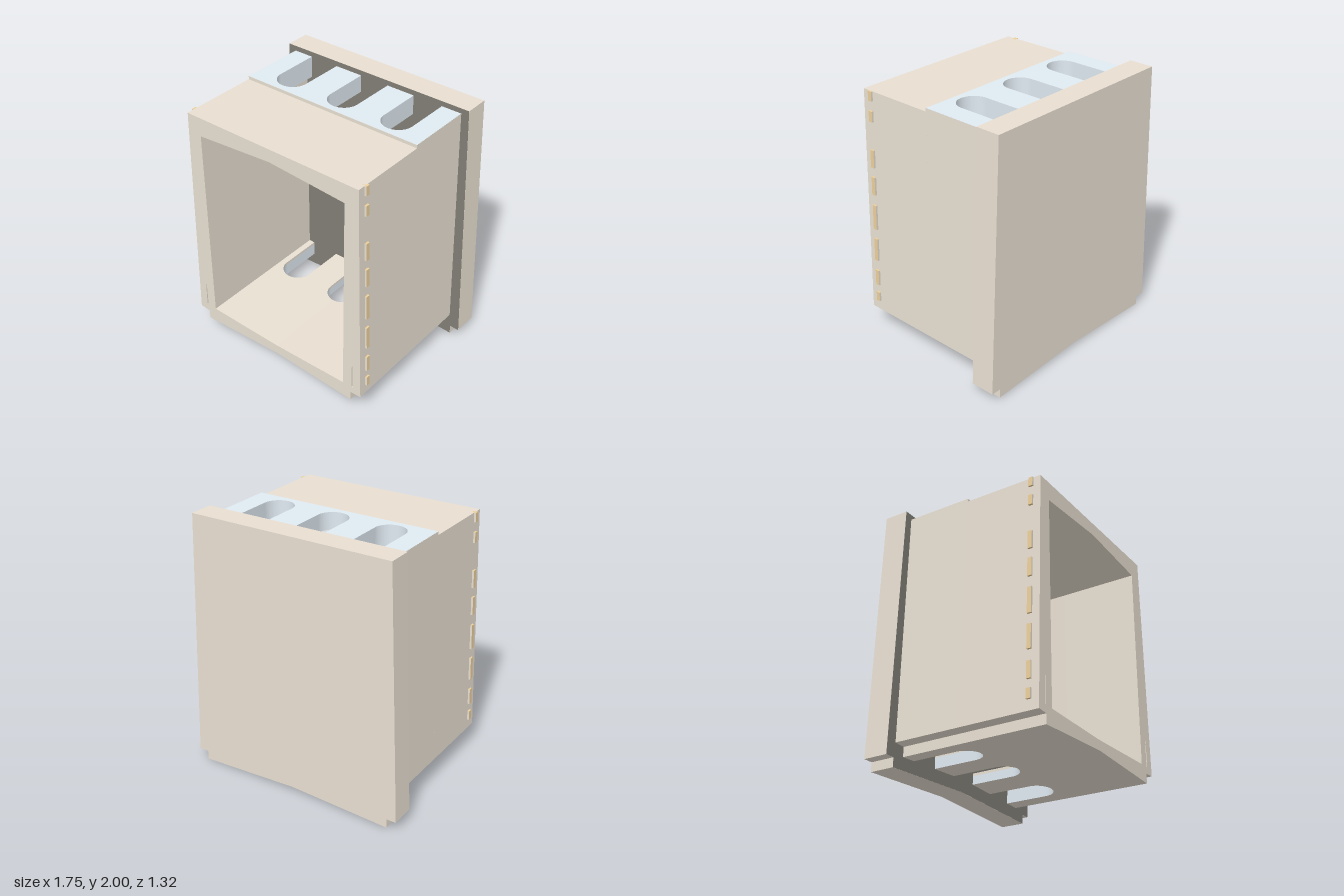
import * as THREE from 'three';

const BACK = -0.471, MID = 0.044, FRONT = 0.66;
const TOP = 1.936, CAP = 1.961;
const mat = (color) => new THREE.MeshStandardMaterial({ color, flatShading: true });
const stone = mat(0xe8dfd1), dark = mat(0x817e76), blue = mat(0xe0eaf2), wood = mat(0xeccf9a);

// x of the tapering outer side at height y
const sideX = (y) => 0.787 - (y - 0.18) * 0.0264;

const toShape = (pts) => new THREE.Shape(pts.map(([x, y]) => new THREE.Vector2(x, y)));

// full counter-clockwise outline from its right half, listed from the top down
const mirrored = (half) => [...half, ...half.map(([x, y]) => [-x, y]).reverse()
  .filter(([x]) => x !== 0)].reverse();

function extrudeZ(shape, z0, z1) {
  const geo = new THREE.ExtrudeGeometry(shape, { depth: z1 - z0, bevelEnabled: false });
  return geo.translate(0, 0, z0);
}

function addMesh(parent, name, geo, material) {
  const mesh = new THREE.Mesh(geo, material);
  mesh.name = name;
  parent.add(mesh);
  return mesh;
}

// right half of a slab with round-ended slots, its top and bottom following x
function slottedHalf(width, topY, bottomY) {
  const r = 0.118, c = 0.463, z = -0.005 - r;
  const s = new THREE.Shape();
  s.moveTo(0, -0.005);
  s.absarc(0, z, r, Math.PI / 2, 0, true);
  s.lineTo(r, BACK);
  s.lineTo(c - r, BACK);
  s.lineTo(c - r, z);
  s.absarc(c, z, r, Math.PI, 0, true);
  s.lineTo(c + r, BACK);
  s.lineTo(width, BACK);
  s.lineTo(width, MID);
  s.lineTo(0, MID);
  const geo = new THREE.ExtrudeGeometry(s, { depth: 1, bevelEnabled: false, curveSegments: 16 });
  geo.rotateX(Math.PI / 2);
  const p = geo.attributes.position;
  for (let i = 0; i < p.count; i++) {
    p.setY(i, p.getY(i) > -0.5 ? topY(p.getX(i)) : bottomY(p.getX(i)));
  }
  geo.computeVertexNormals();
  return geo;
}

export function createModel() {
  const model = new THREE.Group();
  model.name = 'ventedHousing';

  // back plate with its darker inner face
  const plate = toShape(mirrored([[0.8, 2], [0.875, 0.07], [0.8, 0.07], [0.8, 0], [0, 0.037]]));
  addMesh(model, 'backPlate', extrudeZ(plate, -0.66, BACK - 0.001), stone);
  addMesh(model, 'backPlateInnerFace', new THREE.ShapeGeometry(plate).translate(0, 0, BACK), dark);

  // front frame with the opening and two narrow slits
  const frame = toShape(mirrored([
    [sideX(TOP), TOP], [sideX(0.178), 0.178], [0.7, 0.173], [0.7, 0.1], [0, 0.136],
  ]));
  frame.holes.push(toShape(mirrored([[0, 1.836], [0.63, 1.79], [0.63, 0.228], [0, 0.213]])));
  for (const s of [1, -1]) {
    frame.holes.push(toShape([[s * 0.707, 0.43], [s * 0.714, 0.43], [s * 0.718, 0.23], [s * 0.707, 0.23]]));
  }
  addMesh(model, 'frontFrame', extrudeZ(frame, MID, FRONT), stone);

  // front edge of the raised cap
  const lip = new THREE.BoxGeometry(2 * sideX(CAP), CAP - TOP, 0.002);
  addMesh(model, 'capFrontEdge', lip.translate(0, (CAP + TOP) / 2, MID + 0.001), stone);

  // rear walls, slotted ceiling and floor, and pegs, built for one side and mirrored
  const wall = extrudeZ(toShape([
    [0.63, TOP], [0.63, 0.1036], [0.7, 0.1], [0.7, 0.173], [sideX(0.178), 0.178],
    [sideX(CAP), CAP - 0.001], [0.73, CAP - 0.001], [0.73, TOP],
  ]), BACK, MID);
  const cap = slottedHalf(sideX(CAP) - 0.001, () => CAP, () => TOP);
  const ceiling = slottedHalf(0.63, () => TOP, (x) => 1.836 - x * 0.073);
  const floorTop = (x) => 0.213 + x * 0.0238;
  const floorSkin = slottedHalf(0.63, floorTop, (x) => floorTop(x) - 0.02);
  const floor = slottedHalf(0.63, (x) => floorTop(x) - 0.02, (x) => 0.136 - x * 0.0514);
  const pegs = [[1.865, TOP], [1.71, 1.79], [1.36, 1.496], [1.145, 1.285],
    [0.865, 1.06], [0.605, 0.786], [0.395, 0.52], [0.256, 0.33]];

  for (const s of [1, -1]) {
    const half = new THREE.Group();
    half.name = s > 0 ? 'leftHalf' : 'rightHalf';
    half.scale.x = s;
    addMesh(half, 'rearWall', wall, stone);
    addMesh(half, 'topCap', cap, blue);
    addMesh(half, 'slottedCeiling', ceiling, [stone, blue]);
    addMesh(half, 'floorSkin', floorSkin, stone);
    addMesh(half, 'slottedFloor', floor, [stone, blue]);
    for (const [y0, y1] of pegs) {
      const peg = toShape([
        [sideX(y0) - 0.02, y0], [sideX(y0) + 0.015, y0], [sideX(y1) + 0.015, y1], [sideX(y1) - 0.02, y1],
      ]);
      addMesh(half, 'sidePeg', extrudeZ(peg, 0.57, 0.603), [stone, wood]);
    }
    model.add(half);
  }
  return model;
}
